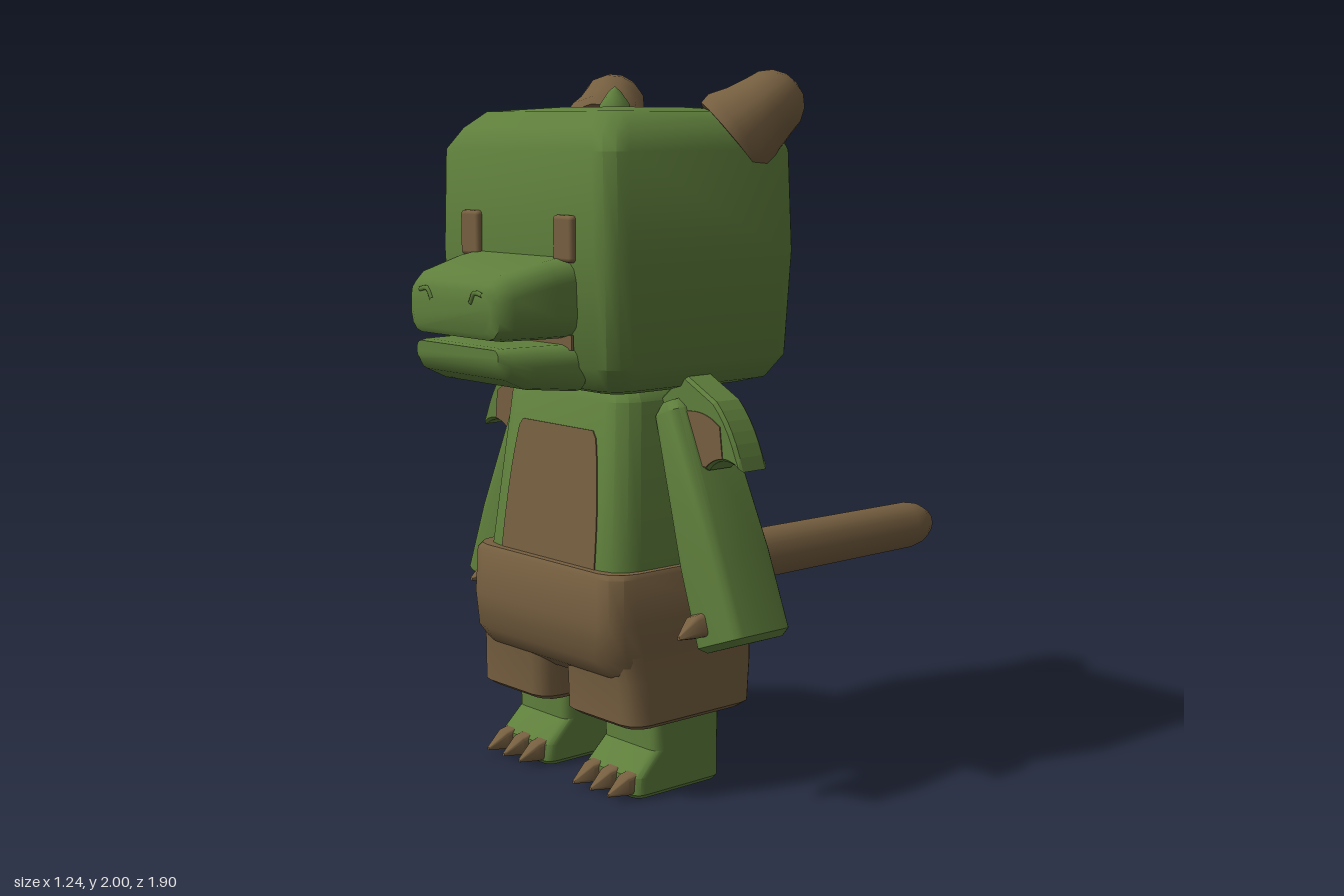
import * as THREE from 'three';
import { toCreasedNormals } from 'three/addons/utils/BufferGeometryUtils.js';
import { RoundedBoxGeometry } from 'three/addons/geometries/RoundedBoxGeometry.js';

const green = new THREE.MeshStandardMaterial({ color: 0x5f7f3c });
green.name = 'green skin';
const brown = new THREE.MeshStandardMaterial({ color: 0x765f40 });
brown.name = 'brown';

function add(parent, name, geometry, material, x = 0, y = 0, z = 0) {
  const mesh = new THREE.Mesh(geometry, material);
  mesh.name = name;
  mesh.position.set(x, y, z);
  parent.add(mesh);
  return mesh;
}

// Rounded-rectangle sections joined along y or z.
// Ring: [position, x0, x1, b0, b1, corner], where b is z (axis y) or y (axis z).
function loft(axis, rings, crease = 0.75) {
  const seg = 3, n = 4 * (seg + 1), pos = [], idx = [];
  for (const [t, x0, x1, b0, b1, r] of rings) {
    const centres = [[x1 - r, b1 - r], [x0 + r, b1 - r], [x0 + r, b0 + r], [x1 - r, b0 + r]];
    centres.forEach(([cx, cb], q) => {
      for (let s = 0; s <= seg; s++) {
        const a = (q + s / seg) * Math.PI / 2;
        const x = cx + r * Math.cos(a), b = cb + r * Math.sin(a);
        pos.push(...(axis === 'y' ? [x, t, b] : [x, b, t]));
      }
    });
  }
  const tri = (a, b, c) => (axis === 'y' ? idx.push(a, c, b) : idx.push(a, b, c));
  for (let k = 0; k < rings.length - 1; k++) {
    for (let i = 0; i < n; i++) {
      const a = k * n + i, b = k * n + (i + 1) % n;
      tri(a, b, b + n);
      tri(a, b + n, a + n);
    }
  }
  const top = (rings.length - 1) * n;
  for (let i = 1; i < n - 1; i++) {
    tri(0, i + 1, i);
    tri(top, top + i, top + i + 1);
  }
  const g = new THREE.BufferGeometry();
  g.setAttribute('position', new THREE.Float32BufferAttribute(pos, 3));
  g.setIndex(idx);
  return toCreasedNormals(g, crease);
}

// Shorthand for a ring symmetric in x.
const sym = (t, w, b0, b1, r) => [t, -w, w, b0, b1, r];

const lathe = (profile, sides) =>
  new THREE.LatheGeometry(profile.map(([r, y]) => new THREE.Vector2(r, y)), sides);

const claw = (w, h, length) => loft('z', [
  sym(-0.03, w, -h, h, w * 0.4),
  sym(length * 0.25, w * 0.9, -h, h * 0.7, w * 0.4),
  sym(length, w * 0.15, -h * 0.85, -h * 0.6, w * 0.05),
]);

function buildHead(model) {
  const head = new THREE.Group();
  head.name = 'head';
  model.add(head);
  add(head, 'skull', loft('y', [
    sym(1.13, 0.29, 0.13, 0.62, 0.06),
    sym(1.145, 0.345, 0.08, 0.67, 0.07),
    sym(1.21, 0.392, 0.05, 0.712, 0.07),
    sym(1.5, 0.4, 0.03, 0.722, 0.07),
    sym(1.78, 0.39, 0.035, 0.718, 0.07),
    sym(1.84, 0.35, 0.045, 0.685, 0.07),
    sym(1.885, 0.305, 0.07, 0.635, 0.07),
    sym(1.897, 0.15, 0.2, 0.5, 0.07),
  ]), green);

  // Muzzle with an open slit between the jaws
  add(head, 'upperJaw', loft('z', [
    sym(0.69, 0.255, 1.285, 1.505, 0.06),
    sym(0.78, 0.25, 1.285, 1.49, 0.06),
    sym(0.9, 0.225, 1.285, 1.46, 0.06),
    sym(0.935, 0.205, 1.29, 1.435, 0.05),
    sym(0.945, 0.18, 1.305, 1.415, 0.04),
  ]), green);
  add(head, 'lowerJaw', loft('z', [
    sym(0.69, 0.255, 1.14, 1.268, 0.05),
    sym(0.84, 0.235, 1.155, 1.268, 0.05),
    sym(0.905, 0.215, 1.185, 1.268, 0.035),
    sym(0.93, 0.19, 1.215, 1.265, 0.02),
  ]), green);
  add(head, 'mouth', new THREE.BoxGeometry(0.48, 0.04, 0.008), brown, 0, 1.275, 0.724);

  for (const s of [-1, 1]) {
    const nostril = new THREE.CatmullRomCurve3([
      new THREE.Vector3(s * 0.145, 1.408, 0.944),
      new THREE.Vector3(s * 0.11, 1.412, 0.945),
      new THREE.Vector3(s * 0.09, 1.385, 0.945),
    ]);
    add(head, 'nostril', new THREE.TubeGeometry(nostril, 8, 0.007, 6), green);
    add(head, 'eye', new RoundedBoxGeometry(0.085, 0.125, 0.03, 2, 0.012), brown, s * 0.212, 1.55, 0.722);

    // Stubby horn leaning up, out and back
    const profile = [[0, 0], [0.13, 0], [0.135, 0.03], [0.115, 0.08], [0.1, 0.14]];
    for (let i = 1; i <= 4; i++) {
      const a = i * Math.PI / 8;
      profile.push([0.1 * Math.cos(a), 0.14 + 0.1 * Math.sin(a)]);
    }
    const horn = add(head, 'horn', toCreasedNormals(lathe(profile, 12), 0.8), brown, s * 0.28, 1.81, 0.195);
    horn.quaternion.setFromUnitVectors(new THREE.Vector3(0, 1, 0),
      new THREE.Vector3(s * 0.065, 0.09, -0.085).normalize());
  }
  add(head, 'crest', lathe([[0.05, 0], [0.042, 0.03], [0.018, 0.065], [0, 0.08]], 8), green, 0, 1.875, 0.38);
}

function buildTorso(model) {
  add(model, 'body', loft('y', [
    sym(0.5, 0.325, 0.12, 0.65, 0.08),
    sym(0.64, 0.315, 0.14, 0.635, 0.08),
    sym(1.1, 0.27, 0.185, 0.583, 0.07),
    sym(1.13, 0.24, 0.21, 0.56, 0.06),
  ]), green);

  const patch = new THREE.Shape();
  patch.moveTo(-0.215, 0);
  patch.lineTo(0.215, 0);
  patch.quadraticCurveTo(0.21, 0.25, 0.175, 0.4);
  patch.lineTo(0.16, 0.42);
  patch.lineTo(-0.16, 0.42);
  patch.lineTo(-0.175, 0.4);
  patch.quadraticCurveTo(-0.21, 0.25, -0.215, 0);
  const belly = add(model, 'bellyPatch',
    new THREE.ExtrudeGeometry(patch, { depth: 0.006, bevelEnabled: false }), brown, 0, 0.6, 0.637);
  belly.rotation.x = -0.1125;

  // Shorts with a rounded seat and two short legs
  add(model, 'shorts', loft('y', [
    sym(0.315, 0.3, 0.2, 0.58, 0.08),
    sym(0.35, 0.345, 0.155, 0.63, 0.08),
    sym(0.4, 0.352, 0.145, 0.672, 0.1),
    sym(0.5, 0.35, 0.125, 0.675, 0.08),
    sym(0.63, 0.344, 0.11, 0.67, 0.08),
    sym(0.643, 0.335, 0.12, 0.66, 0.08),
  ]), brown);

  const tail = add(model, 'tail', lathe([
    [0, -0.1], [0.085, -0.1], [0.08, 0.1], [0.077, 0.93], [0.066, 0.99], [0.042, 1.03], [0, 1.05],
  ], 12), brown, 0, 0.538, 0.1);
  tail.rotation.x = -Math.PI / 2;
}

// Limbs and wing of the +x side
function buildSide() {
  const side = new THREE.Group();
  side.name = 'leftLimbs';
  add(side, 'shortsLeg', loft('y', [
    [0.207, 0.055, 0.345, 0.19, 0.6, 0.05],
    [0.222, 0.038, 0.364, 0.17, 0.622, 0.06],
    [0.34, 0.036, 0.358, 0.155, 0.625, 0.06],
    [0.42, 0.03, 0.35, 0.15, 0.64, 0.06],
  ]), brown);
  add(side, 'leg', loft('y', [
    [0, 0.09, 0.315, 0.28, 0.57, 0.025],
    [0.012, 0.08, 0.325, 0.27, 0.58, 0.03],
    [0.06, 0.08, 0.325, 0.27, 0.577, 0.03],
    [0.125, 0.082, 0.323, 0.267, 0.51, 0.03],
    [0.26, 0.082, 0.323, 0.262, 0.51, 0.03],
  ], 0.6), green);
  for (let i = 0; i < 3; i++) {
    add(side, 'toeClaw', claw(0.027, 0.031, 0.075), brown, 0.128 + i * 0.077, 0.044, 0.575);
  }

  const arm = add(side, 'arm', loft('y', [
    sym(-0.69, 0.075, 0.29, 0.465, 0.025),
    sym(-0.672, 0.091, 0.272, 0.483, 0.03),
    sym(-0.45, 0.085, 0.272, 0.483, 0.03),
    sym(-0.03, 0.055, 0.282, 0.473, 0.03),
    sym(0, 0.035, 0.3, 0.455, 0.03),
  ], 0.6), green, 0.305, 1.1, 0);
  arm.rotation.z = 0.349;
  const thumb = add(side, 'handClaw', claw(0.034, 0.035, 0.08), brown, 0.472, 0.512, 0.482);
  thumb.rotation.z = 0.3;

  // Small scalloped wing with a brown membrane on its front
  const wing = new THREE.Shape();
  wing.moveTo(0.25, 1.1);
  wing.lineTo(0.35, 1.18);
  wing.lineTo(0.48, 1.115);
  wing.quadraticCurveTo(0.55, 1.05, 0.585, 0.937);
  wing.quadraticCurveTo(0.5, 0.985, 0.45, 0.925);
  wing.lineTo(0.34, 0.93);
  wing.lineTo(0.27, 1.0);
  const wingGeometry = new THREE.ExtrudeGeometry(wing, {
    depth: 0.08, curveSegments: 6, bevelThickness: 0.01, bevelSize: 0.008, bevelOffset: -0.008, bevelSegments: 1,
  });
  add(side, 'wing', wingGeometry, green, 0, 0, 0.345);

  const membrane = new THREE.Shape();
  membrane.moveTo(0.3, 1.06);
  membrane.quadraticCurveTo(0.42, 1.11, 0.505, 1.05);
  membrane.lineTo(0.515, 0.965);
  membrane.quadraticCurveTo(0.475, 0.96, 0.45, 0.935);
  membrane.lineTo(0.35, 0.94);
  add(side, 'wingMembrane',
    new THREE.ExtrudeGeometry(membrane, { depth: 0.004, bevelEnabled: false }), brown, 0, 0, 0.434);
  return side;
}

export function createModel() {
  const model = new THREE.Group();
  model.name = 'dragonFigure';
  buildHead(model);
  buildTorso(model);
  const left = buildSide();
  const right = buildSide();
  right.name = 'rightLimbs';
  right.scale.x = -1;
  model.add(left, right);
  return model;
}
